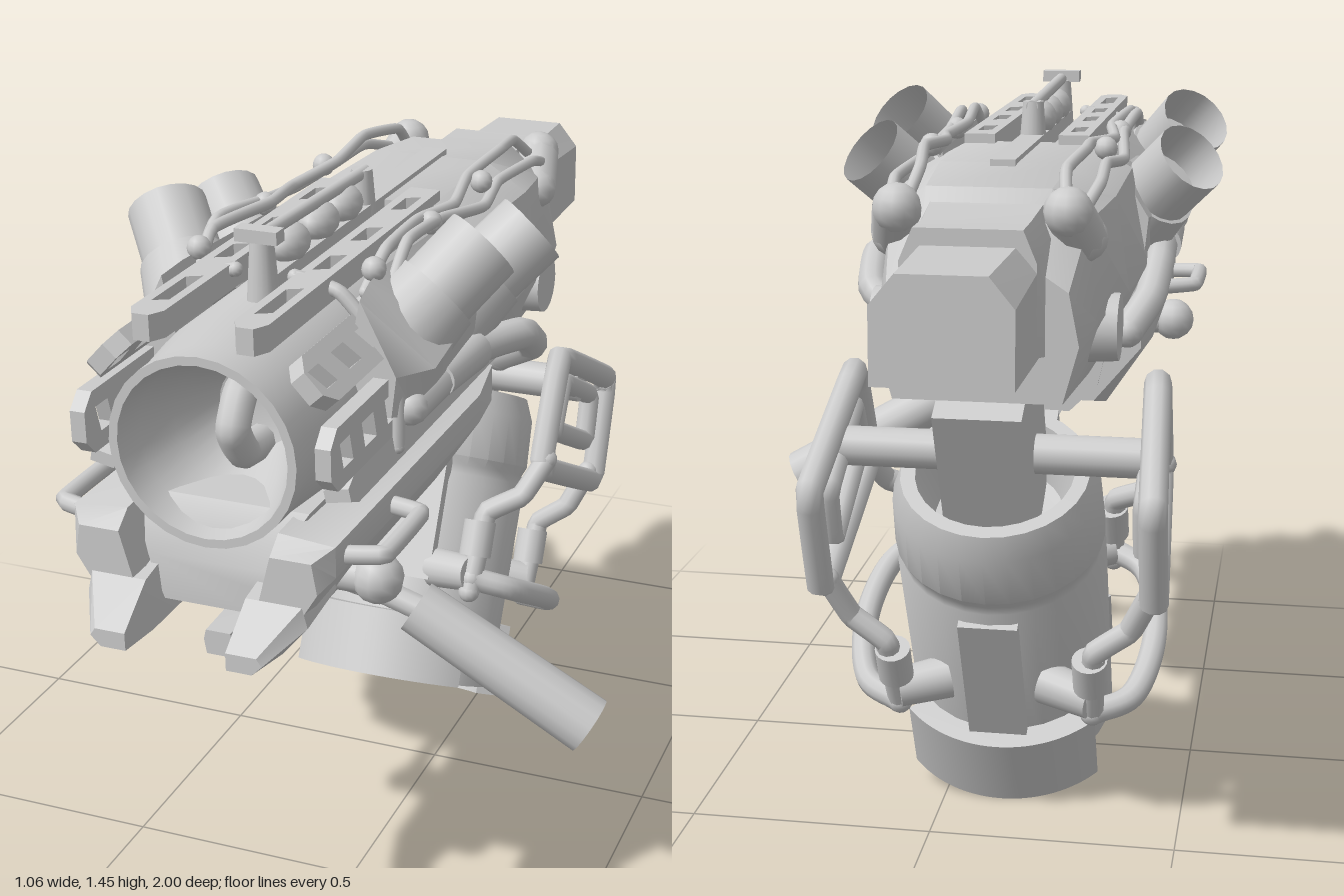
import * as THREE from 'three';
import { toCreasedNormals } from 'three/addons/utils/BufferGeometryUtils.js';

const V = (p) => new THREE.Vector3(...p);
const mat = new THREE.MeshStandardMaterial({ color: 0xcccccc });
const openMat = new THREE.MeshStandardMaterial({ color: 0xcccccc, side: THREE.DoubleSide });

export function createModel() {
  const root = new THREE.Group();
  const gun = new THREE.Group();
  gun.name = 'weapon';
  gun.position.x = -0.12;
  root.add(gun);

  function add(name, geo, parent = gun, material = mat) {
    const m = new THREE.Mesh(geo, material);
    m.name = name;
    parent.add(m);
    return m;
  }
  const box = (name, size, pos, parent) => {
    const m = add(name, new THREE.BoxGeometry(...size), parent);
    m.position.set(...pos);
  };
  const ball = (name, pos, r, parent) => {
    const m = add(name, new THREE.SphereGeometry(r, 12, 8), parent);
    m.position.set(...pos);
    return m;
  };
  const tube = (name, pts, r, parent, closed = false, tension = 0.25) => {
    const curve = new THREE.CatmullRomCurve3(pts.map(V), closed, 'catmullrom', tension);
    add(name, new THREE.TubeGeometry(curve, pts.length * 8, r, 10, closed), parent, openMat);
    if (!closed) for (const end of [pts[0], pts[pts.length - 1]]) ball(name + 'End', end, r * 1.02, parent);
  };
  const rod = (name, a, b, r0, r1, parent, open = false, sides = 18) => {
    const d = V(b).sub(V(a));
    const m = add(name, new THREE.CylinderGeometry(r1, r0, d.length(), sides, 1, open), parent, open ? openMat : mat);
    m.position.copy(V(a)).addScaledVector(d, 0.5);
    m.quaternion.setFromUnitVectors(new THREE.Vector3(0, 1, 0), d.normalize());
  };
  const both = (fn) => [1, -1].forEach(fn);
  const flip = (pts, s) => pts.map(([x, y, z]) => [x * s, y, z]);

  // Skin over cross-sections [z, [[x, y], ...]] with z rising
  function loft(name, sections, crease = 0.6) {
    const p0 = sections[0][1].map((p) => new THREE.Vector2(...p));
    const rev = THREE.ShapeUtils.area(p0) < 0;
    const rings = sections.map(([z, pts]) => (rev ? [...pts].reverse() : pts).map(([x, y]) => [x, y, z]));
    const n = p0.length, out = [];
    for (let k = 0; k < rings.length - 1; k++) for (let i = 0; i < n; i++) {
      const j = (i + 1) % n, a = rings[k], b = rings[k + 1];
      out.push(...a[i], ...a[j], ...b[j], ...a[i], ...b[j], ...b[i]);
    }
    const first = rings[0], last = rings[rings.length - 1];
    for (let i = 1; i < n - 1; i++) {
      out.push(...first[0], ...first[i + 1], ...first[i], ...last[0], ...last[i], ...last[i + 1]);
    }
    const g = new THREE.BufferGeometry();
    g.setAttribute('position', new THREE.Float32BufferAttribute(out, 3));
    add(name, toCreasedNormals(g, crease));
  }
  const sym = (half) => [...half, ...[...half].reverse().map(([x, y]) => [-x, y])];

  // Slotted plate running along z
  function plate(name, z0, z1, h, t, slots, angle, x, y) {
    const L = z1 - z0;
    const s = new THREE.Shape([[0, -h / 2], [L - 0.03, -h / 2], [L, -h / 4], [L, h / 4], [L - 0.03, h / 2], [0, h / 2]]
      .map((p) => new THREE.Vector2(...p)));
    for (const [a, b] of slots) {
      const hh = h * 0.22;
      s.holes.push(new THREE.Path([[a, -hh], [a + 0.015, hh], [b, hh], [b - 0.015, -hh]]
        .map(([u, v]) => new THREE.Vector2(u - z0, v))));
    }
    const g = new THREE.ExtrudeGeometry(s, { depth: t, bevelEnabled: false });
    g.translate(0, 0, -t / 2).rotateY(-Math.PI / 2).rotateZ(angle).translate(x, y, z0);
    add(name, g);
  }

  // Rear receiver and stock
  loft('receiver', [
    [-0.64, sym([[0.11, 1.2], [0.17, 1.16], [0.19, 1.06], [0.16, 0.95]])],
    [-0.5, sym([[0.12, 1.33], [0.19, 1.27], [0.21, 1.08], [0.17, 0.95]])],
    [-0.3, sym([[0.13, 1.35], [0.22, 1.29], [0.25, 1.1], [0.17, 0.93]])],
    [0.04, sym([[0.13, 1.35], [0.22, 1.3], [0.26, 1.1], [0.17, 0.91]])],
  ]);
  loft('stock', [
    [-1, sym([[0.08, 1.255], [0.125, 1.2], [0.125, 1.06]])],
    [-0.6, sym([[0.09, 1.26], [0.125, 1.22], [0.125, 1.05]])],
  ]);
  loft('stockSocket', [
    [-0.74, sym([[0.1, 1.29], [0.125, 1.23], [0.125, 1.06]])],
    [-0.64, sym([[0.1, 1.29], [0.127, 1.24], [0.127, 1.04]])],
    [-0.48, sym([[0.11, 1.31], [0.13, 1.26], [0.13, 1.02]])],
  ]);
  box('topSpine', [0.05, 0.04, 0.9], [0, 1.34, 0.12]);

  // Barrel with a cupped muzzle
  const barrel = [[0.2, 0], [0.2, 0.68], [0.185, 0.8], [0.185, 0.86], [0.168, 0.86], [0.155, 0.8], [0.125, 0.72], [0.08, 0.62], [0, 0.6]];
  const bg = new THREE.LatheGeometry(barrel.map((p) => new THREE.Vector2(...p)), 28);
  const bm = add('barrel', toCreasedNormals(bg.rotateX(Math.PI / 2), 0.5), gun, openMat);
  bm.position.y = 1.115;
  tube('muzzleCore', [[0, 1.04, 0.6], [0, 1.05, 0.69], [0, 1.11, 0.73], [0, 1.17, 0.69], [0, 1.18, 0.6]], 0.033);

  // Lower front block
  loft('lowerCore', [
    [-0.02, sym([[0.2, 1.02], [0.16, 0.84], [0.1, 0.78]])],
    [0.8, sym([[0.18, 1.0], [0.14, 0.86], [0.1, 0.8]])],
    [0.86, sym([[0.12, 0.9], [0.11, 0.86], [0.09, 0.81]])],
  ]);

  both((s) => {
    const sec = (pts) => pts.map(([x, y]) => [x * s, y]);
    // Jaws under the muzzle, each ending in a low point
    loft('jaw', [
      [0, sec([[0.09, 0.8], [0.15, 0.8], [0.25, 0.92], [0.25, 1.0], [0.15, 1.02]])],
      [0.12, sec([[0.09, 0.77], [0.165, 0.77], [0.265, 0.92], [0.265, 0.98], [0.15, 1.02]])],
      [0.87, sec([[0.09, 0.77], [0.165, 0.77], [0.26, 0.92], [0.26, 0.98], [0.15, 0.99]])],
      [0.91, sec([[0.1, 0.77], [0.16, 0.77], [0.24, 0.9], [0.23, 0.96], [0.15, 0.96]])],
    ]);
    loft('jawTip', [
      [0.8, sec([[0.09, 0.77], [0.17, 0.77], [0.23, 0.86], [0.22, 0.89], [0.1, 0.89]])],
      [0.91, sec([[0.09, 0.77], [0.17, 0.77], [0.22, 0.83], [0.21, 0.87], [0.1, 0.87]])],
      [1, sec([[0.1, 0.77], [0.15, 0.77], [0.17, 0.79], [0.16, 0.805], [0.1, 0.805]])],
    ], 0.3);
    // Slotted shroud plates
    const slots = [[0.53, 0.62], [0.66, 0.73], [0.77, 0.83]];
    plate('sidePlate', 0.05, 0.87, 0.12, 0.03, slots, 0, 0.24 * s, 1.135);
    plate('lowerPlate', 0, 0.8, 0.05, 0.05, [], 0.2 * s, 0.235 * s, 1.045);
    plate('shoulderPlate', 0.05, 0.84, 0.1, 0.035, slots, 0.75 * s, 0.2 * s, 1.26);
    plate('topRail', 0, 0.87, 0.065, 0.05, [[0.06, 0.16], [0.27, 0.37], [0.45, 0.55], [0.65, 0.8]], Math.PI / 2, 0.1 * s, 1.345);
    tube('shroudHoop', flip([[0.06, 1.36, 0.57], [0.15, 1.34, 0.57], [0.23, 1.25, 0.57], [0.26, 1.15, 0.57], [0.26, 1.05, 0.57]], s), 0.014);

    // Exhausts leaning up, out and back
    [[[0.2, 1.21, 0.45], [0.335, 1.375, 0.31]], [[0.2, 1.17, 0.16], [0.345, 1.325, 0.04]]].forEach(([a, b]) => {
      const [p, q] = flip([a, b], s);
      const mid = V(p).lerp(V(q), 0.5).toArray();
      rod('exhaustPipe', p, q, 0.08, 0.08, gun, true);
      rod('exhaustCollar', p, mid, 0.105, 0.088, gun);
      rod('exhaustFloor', mid, V(p).lerp(V(q), 0.6).toArray(), 0.076, 0.076, gun);
    });
    loft('exhaustMount', [
      [0.0, sec([[0.15, 1.1], [0.25, 1.1], [0.26, 1.2], [0.18, 1.33]])],
      [0.42, sec([[0.15, 1.08], [0.28, 1.1], [0.32, 1.22], [0.18, 1.35]])],
      [0.53, sec([[0.15, 1.08], [0.28, 1.1], [0.32, 1.2], [0.19, 1.35]])],
      [0.6, sec([[0.15, 1.1], [0.26, 1.12], [0.27, 1.2], [0.2, 1.34]])],
    ]);

    // Side hose, swinging wider on the left
    const bulge = s > 0 ? 0.05 : 0;
    rod('hoseSleeve', [0.275 * s, 1.12, 0.4], [0.275 * s, 1.11, 0.2], 0.036, 0.042);
    tube('sideHose', flip([[0.275, 1.12, 0.54], [0.275, 1.11, 0.2], [0.28 + bulge, 1.1, 0.05], [0.27 + bulge, 1.04, -0.05], [0.23, 0.98, -0.11]], s), 0.034);
    rod('sideBoss', [0.18 * s, 1.05, -0.4], [0.242 * s, 1.05, -0.4], 0.07, 0.066);

    // Front grab rail and knob
    tube('sideRail', flip([[0.24, 0.94, 0.82], [0.325, 0.945, 0.8], [0.325, 0.945, 0.62], [0.24, 0.94, 0.59]], s), 0.018, gun, false, 0.1);
    rod('knobStem', [0.15 * s, 0.84, 0.7], [0.27 * s, 0.84, 0.7], 0.035, 0.035);
    ball('knob', [0.27 * s, 0.84, 0.7], 0.05);

    // Upper cables with plugs
    tube('upperCable', flip([[0.17, 1.32, 0.5], [0.18, 1.38, 0.42], [0.16, 1.37, 0.2], [0.18, 1.36, 0.05], [0.15, 1.37, -0.12], [0.16, 1.38, -0.3], [0.14, 1.36, -0.45], [0.15, 1.31, -0.53]], s), 0.012);
    tube('outerCable', flip([[0.2, 1.3, 0.46], [0.2, 1.38, 0.36], [0.19, 1.36, 0.15], [0.21, 1.33, -0.05], [0.19, 1.34, -0.2], [0.2, 1.33, -0.4], [0.18, 1.29, -0.54]], s), 0.012);
    tube('cablePlug', flip([[0.16, 1.3, -0.58], [0.17, 1.27, -0.54], [0.18, 1.24, -0.5]], s), 0.046);
    for (const z of [0.48, 0.18, -0.12]) ball('cableClip', [0.18 * s, 1.36, z], 0.024);
  });

  // Sight bar on top
  rod('sightBar', [0, 1.435, 0.6], [0, 1.42, 0.08], 0.013, 0.013);
  box('sightHead', [0.085, 0.025, 0.035], [0, 1.44, 0.59]);
  for (const z of [0.58, 0.1]) rod('sightPost', [0, 1.3, z], [0, 1.43, z], 0.032, 0.022);
  for (const z of [0.2, 0.32, 0.46]) ball('sightBead', [0, 1.385, z], 0.038).scale.z = 1.5;

  // Under rail and side grip
  loft('underRail', [
    [0.3, sym([[0.03, 0.73], [0.045, 0.7], [0.03, 0.67]])],
    [0.68, sym([[0.03, 0.74], [0.04, 0.71], [0.03, 0.68]])],
    [0.83, sym([[0.025, 0.74], [0.03, 0.72], [0.025, 0.69]])],
  ]);
  for (const z of [0.4, 0.66]) box('railPost', [0.05, 0.14, 0.08], [0, 0.78, z]);
  tube('railBrace', [[0, 0.69, 0.42], [0, 0.69, 0.25], [0, 0.73, 0.18], [0, 0.84, 0.14]], 0.032);
  tube('gripArm', [[0, 0.72, 0.48], [0.07, 0.71, 0.48], [0.18, 0.69, 0.48], [0.28, 0.66, 0.48]], 0.026);
  rod('sideGrip', [0.265, 0.673, 0.49], [0.622, 0.463, 0.47], 0.055, 0.06, gun, false, 14);

  // Tilted magazine drum with a hollow top
  const mag = new THREE.Group();
  mag.name = 'magazine';
  mag.position.set(0, 0.15, -0.1);
  mag.rotation.x = -0.478;
  gun.add(mag);
  const drum = [[0, 0.015], [0.19, 0.01], [0.2, 0], [0.212, 0], [0.215, 0.46], [0.206, 0.48], [0.206, 0.5], [0.215, 0.52], [0.21, 0.63], [0.19, 0.68], [0.16, 0.68], [0.13, 0.56], [0, 0.54]];
  add('drum', toCreasedNormals(new THREE.LatheGeometry(drum.map((p) => new THREE.Vector2(...p)), 28), 0.5), mag);
  box('neck', [0.17, 0.4, 0.26], [0, 0.73, 0], mag);
  // Curved lips at the foot, front and rear
  [[-Math.PI / 2, 0, 0.15], [Math.PI / 2, -0.03, 0.17]].forEach(([mid, y, h]) => {
    const s = new THREE.Shape();
    s.absarc(0, 0, 0.262, mid - 0.85, mid + 0.85, false);
    s.absarc(0, 0, 0.2, mid + 0.85, mid - 0.85, true);
    const g = new THREE.ExtrudeGeometry(s, { depth: h, bevelEnabled: false, curveSegments: 14 });
    add('footLip', toCreasedNormals(g.rotateX(-Math.PI / 2).translate(0, y, 0), 0.5), mag);
  });
  box('frontStrip', [0.2, 0.42, 0.04], [0, 0.44, 0.2], mag);
  box('rearStrip', [0.12, 0.36, 0.04], [0, 0.28, -0.205], mag);
  // Side cages
  both((s) => {
    const cage = (name, pts, r, closed, t = 0.08) => tube(name, flip(pts, s), r, mag, closed, t);
    cage('cageFrame', [[0.31, 0.77, 0.18], [0.33, 0.77, -0.18], [0.33, 0.52, -0.21], [0.31, 0.52, 0.19]], 0.028, true, 0.03);
    cage('cageInner', [[0.31, 0.72, 0.13], [0.31, 0.72, -0.13], [0.31, 0.61, -0.15], [0.31, 0.61, 0.14]], 0.024, true, 0.03);
    rod('cageAxle', [0.08 * s, 0.73, 0], [0.32 * s, 0.73, 0], 0.04, 0.04, mag);
    both((f) => {
      cage('cageStrut', [[0.32, 0.54, 0.19 * f], [0.28, 0.45, 0.2 * f], [0.21, 0.4, 0.22 * f], [0.2, 0.22, 0.22 * f]], 0.024, false);
      rod('strutSleeve', [0.2 * s, 0.3, 0.22 * f], [0.2 * s, 0.38, 0.22 * f], 0.036, 0.036, mag);
      rod('strutMount', [0.1 * s, 0.26, 0.18 * f], [0.2 * s, 0.26, 0.22 * f], 0.045, 0.04, mag);
    });
    cage('cageBand', [[0.2, 0.25, 0.22], [0.28, 0.24, 0.16], [0.31, 0.23, 0], [0.28, 0.22, -0.16], [0.2, 0.22, -0.22]], 0.026, false, 0.5);
  });
  return root;
}
